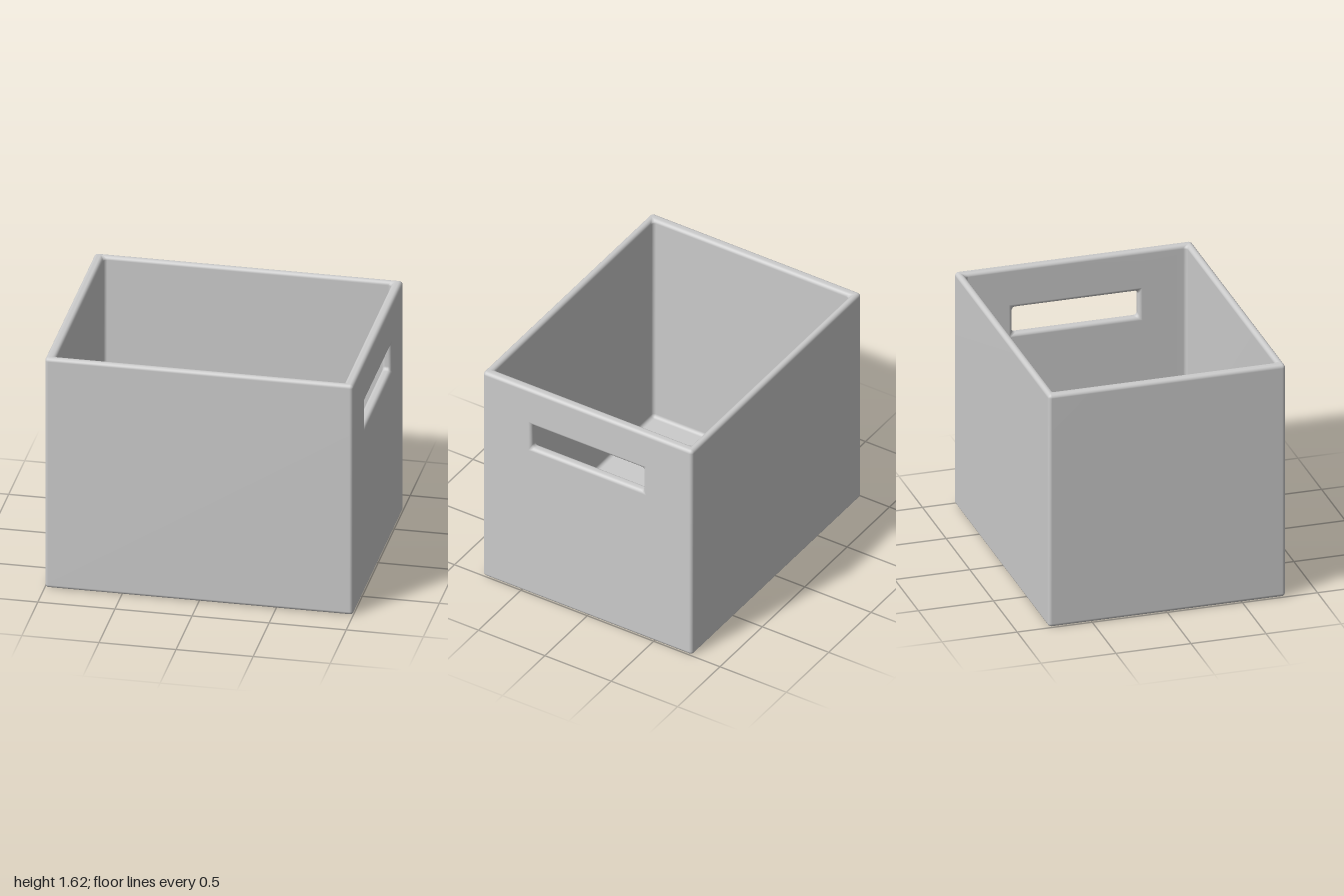
import * as THREE from 'three';
import { mergeGeometries, mergeVertices } from 'three/addons/utils/BufferGeometryUtils.js';

const W = 1, D = 0.79, H = 1.62;          // outer half width, half depth, height
const IW = 0.935, ID = 0.74, FLOOR = 0.06; // inner half width, half depth, floor height
const R = 0.024, N = 5;                   // edge rounding and its segments
const GRIP = { y: 1.25, hz: 0.42, hy: 0.09 };

// Rounded rectangle outline, counter-clockwise, N + 1 points per corner
function outline(a, b, r) {
  const pts = [];
  [[1, 1], [-1, 1], [-1, -1], [1, -1]].forEach(([sx, sy], k) => {
    for (let i = 0; i <= N; i++) {
      const t = (k + i / N) * Math.PI / 2;
      pts.push([sx * (a - r) + r * Math.cos(t), sy * (b - r) + r * Math.sin(t)]);
    }
  });
  return pts;
}

// Skin between consecutive rings; skip(i, j) leaves a quad open
function loft(rings, skip = () => false) {
  const n = rings[0].length, index = [];
  for (let i = 0; i < rings.length - 1; i++) {
    for (let j = 0; j < n; j++) {
      if (skip(i, j)) continue;
      const k = (j + 1) % n, a = i * n + j, b = i * n + k;
      index.push(a, a + n, b, b, a + n, b + n);
    }
  }
  const g = new THREE.BufferGeometry();
  g.setAttribute('position', new THREE.Float32BufferAttribute(rings.flat(2), 3));
  g.setIndex(index);
  return g;
}

// Flat side panel with the opening for the grip, facing +x or -x
function panel(x, halfZ, y0, y1, facing) {
  const rect = (hz, a, b) => [[-hz, a], [hz, a], [hz, b], [-hz, b]].map(p => new THREE.Vector2(...p));
  const shape = new THREE.Shape(rect(halfZ, y0, y1));
  const e = GRIP.hy + R;
  shape.holes.push(new THREE.Path(rect(GRIP.hz + R, GRIP.y - e, GRIP.y + e).reverse()));
  return new THREE.ShapeGeometry(shape).rotateY(facing * Math.PI / 2).translate(x, 0, 0);
}

export function createModel() {
  const group = new THREE.Group();
  const ring = (a, b, r, y) => outline(a, b, r).map(([x, z]) => [x, y, z]);
  const arc = [...Array(N + 1).keys()].map(i => {
    const t = i / N * Math.PI / 2;
    return [R * (1 - Math.sin(t)), R * (1 - Math.cos(t))]; // inset from wall, distance from edge
  });
  const rev = [...arc].reverse();

  // Box shell: under the base, up the outside, over the rim, down to the floor
  const rings = [
    ring(0, 0, 0, 0),
    ...arc.map(([e, h]) => ring(W - e, D - e, R - e, h)),
    ...rev.map(([e, h]) => ring(W - e, D - e, R - e, H - h)),
    ...arc.map(([e, h]) => ring(IW + e, ID + e, R - e, H - h)),
    ...rev.map(([e, h]) => ring(IW - e, ID - e, R - e, FLOOR + h)),
    ring(0, 0, 0, FLOOR),
  ];
  const outer = N + 1, inner = 3 * (N + 1), lastSide = 4 * (N + 1) - 1;
  const shell = loft(rings, (i, j) => j === lastSide && (i === outer || i === inner));

  // Grip opening: softened edges on both faces of the +x wall
  const gripRing = (e, x) => outline(GRIP.hz + e, GRIP.hy + e, R - e).map(([z, y]) => [x, GRIP.y + y, z]);
  const grip = loft([
    ...arc.map(([e, h]) => gripRing(e, W - h)),
    ...rev.map(([e, h]) => gripRing(e, IW + h)),
  ]);

  // Join into one smooth skin
  const parts = [
    shell, grip,
    panel(W, D - R, R, H - R, 1),
    panel(IW, ID - R, FLOOR + R, H - R, -1),
  ].map(g => {
    g.deleteAttribute('normal');
    g.deleteAttribute('uv');
    return g;
  });
  const skin = mergeVertices(mergeGeometries(parts), 1e-4);
  skin.computeVertexNormals();

  const box = new THREE.Mesh(skin, new THREE.MeshStandardMaterial({ color: 0xcccccc }));
  box.name = 'storageBox';
  group.add(box);
  return group;
}
